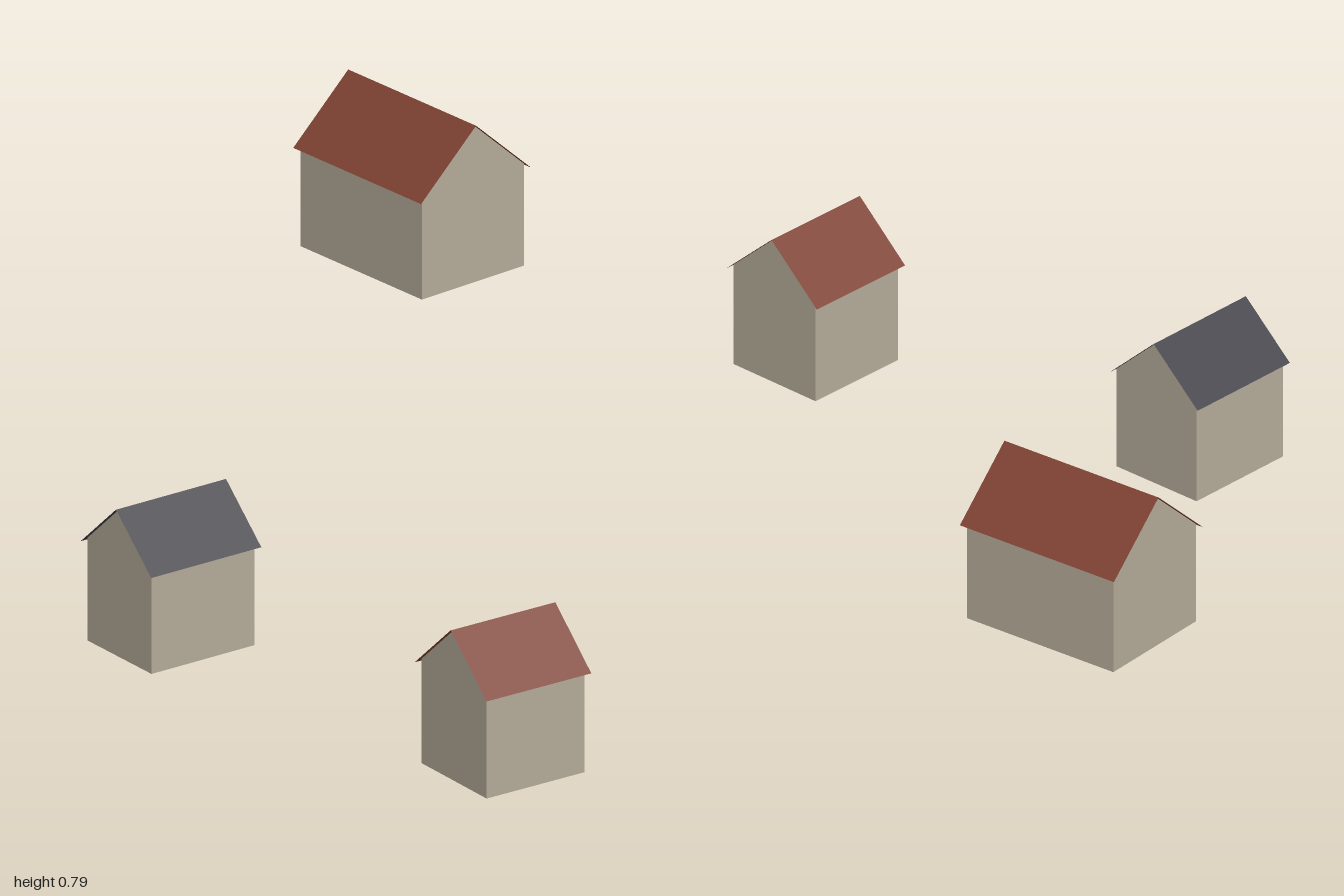
import * as THREE from 'three';

const material = (name, color) => {
  const m = new THREE.MeshStandardMaterial({ color, side: THREE.DoubleSide });
  m.name = name;
  return m;
};

export function createModel() {
  const stone = material('beige wall', 0xb3aa98);
  const red = material('red roof tile', 0x7e4132);
  const slate = material('grey slate', 0x424148);

  const add = (parent, name, geometry, mat) => {
    const mesh = new THREE.Mesh(geometry, mat);
    mesh.name = name;
    parent.add(mesh);
  };

  // A hollow house without a floor; its ridge runs along local z
  function house(name, { x, y, z, turn, width, length, height, roofWidth, roofLength, rise, roof }) {
    const g = new THREE.Group();
    g.name = name;
    const w = width / 2;
    const slope = rise / (roofWidth / 2);
    const wallTop = height - w * slope;

    // Gable walls
    const gable = new THREE.Shape([
      [-w, 0], [w, 0], [w, wallTop], [0, height], [-w, wallTop],
    ].map(([px, py]) => new THREE.Vector2(px, py)));
    add(g, 'frontGable', new THREE.ShapeGeometry(gable).translate(0, 0, length / 2), stone);
    add(g, 'backGable', new THREE.ShapeGeometry(gable).rotateY(Math.PI).translate(0, 0, -length / 2), stone);

    // Side walls and thin roof slopes with a small overhang
    const slant = Math.hypot(roofWidth / 2, rise);
    for (const [side, s] of [['left', 1], ['right', -1]]) {
      add(g, side + 'Wall', new THREE.PlaneGeometry(length, wallTop)
        .rotateY(s * Math.PI / 2).translate(s * w, wallTop / 2, 0), stone);
      add(g, side + 'RoofSlope', new THREE.PlaneGeometry(slant, roofLength)
        .rotateX(-Math.PI / 2).rotateZ(-s * Math.atan(slope))
        .translate(s * roofWidth / 4, height - rise / 2 + 0.001, 0), roof);
    }

    g.position.set(x, y, z);
    g.rotation.y = THREE.MathUtils.degToRad(turn);
    return g;
  }

  const model = new THREE.Group();
  model.name = 'hamlet';
  model.add(
    house('largeHouse', {
      x: -0.771, y: 0.404, z: -0.673, turn: 86.8, width: 0.305, length: 0.418, height: 0.386,
      roofWidth: 0.329, roofLength: 0.44, rise: 0.147, roof: red,
    }),
    house('slateHouse', {
      x: -0.17, y: 0.025, z: 0.671, turn: -8, width: 0.245, length: 0.288, height: 0.362,
      roofWidth: 0.27, roofLength: 0.308, rise: 0.122, roof: slate,
    }),
    house('smallRedHouse', {
      x: 0.8375, y: 0, z: 0.605, turn: -9.1, width: 0.256, length: 0.27, height: 0.369,
      roofWidth: 0.283, roofLength: 0.289, rise: 0.126, roof: red,
    }),
  );
  return model;
}
